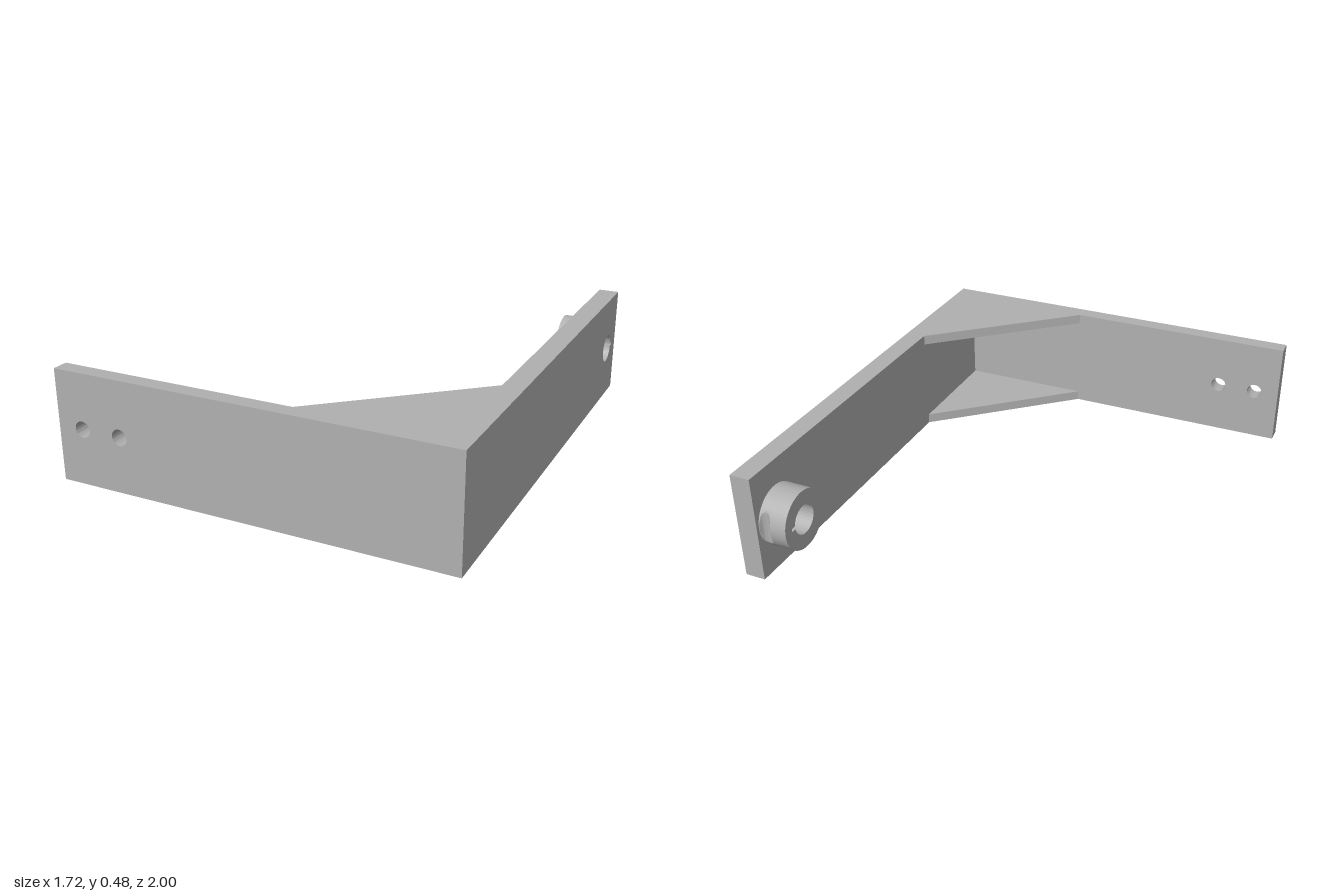
import * as THREE from 'three';
import { toCreasedNormals } from 'three/addons/utils/BufferGeometryUtils.js';

const HEIGHT = 0.48, MID = 0.24;
const LEFT = 0.86, INNER = 0.77, BACK = 0.93;
const BORE_U = 0.856; // bore position, measured towards the back

function rectangle(x0, x1, y0, y1) {
  return new THREE.Shape([[x0, y0], [x1, y0], [x1, y1], [x0, y1]].map(p => new THREE.Vector2(...p)));
}

function circle(x, y, r) {
  return new THREE.Path().absarc(x, y, r, 0, Math.PI * 2, true);
}

// round bore with a narrow keyway towards the back
function keyedBore() {
  const r = 0.064, half = 0.007, a = Math.asin(half / r);
  const path = new THREE.Path();
  path.absarc(BORE_U, MID, r, a, Math.PI * 2 - a, false);
  path.lineTo(0.943, MID - half);
  path.lineTo(0.943, MID + half);
  path.closePath();
  return path;
}

function extrude(shape, depth, curveSegments = 32, steps = 1) {
  return new THREE.ExtrudeGeometry(shape, { depth, steps, curveSegments, bevelEnabled: false });
}

export function createModel() {
  const group = new THREE.Group();
  const grey = new THREE.MeshStandardMaterial({ color: 0xb0b0b0 });
  grey.name = 'plain grey';

  const add = (name, geometry) => {
    const mesh = new THREE.Mesh(toCreasedNormals(geometry, 0.6), grey);
    mesh.name = name;
    group.add(mesh);
  };

  // front plate with two screw holes
  const front = rectangle(-LEFT, INNER, 0, HEIGHT);
  for (const x of [-0.745, -0.567]) front.holes.push(circle(x, MID, 0.035));
  add('frontPlate', extrude(front, 1 - BACK).translate(0, 0, BACK));

  // side plate: drawn with u = -z, then turned to face +x
  const side = rectangle(-1, 1, 0, HEIGHT);
  side.holes.push(keyedBore());
  add('sidePlate', extrude(side, LEFT - INNER).rotateY(Math.PI / 2).translate(INNER, 0, 0));

  // boss around the bore
  const ring = new THREE.Shape().absarc(BORE_U, MID, 0.13, 0, Math.PI * 2, false);
  ring.holes.push(keyedBore());
  const bossX = 0.645;
  const boss = extrude(ring, INNER - bossX, 64, 50).rotateY(Math.PI / 2).translate(bossX, 0, 0);

  // round groove cut vertically across the back of the boss
  const pos = boss.attributes.position, grooveX = 0.742, grooveR = 0.024;
  for (let i = 0; i < pos.count; i++) {
    const d = pos.getX(i) - grooveX;
    if (Math.abs(d) >= grooveR) continue;
    const limit = -BORE_U - 0.13 + Math.sqrt(grooveR ** 2 - d ** 2);
    pos.setZ(i, Math.max(pos.getZ(i), limit));
  }
  add('boss', boss);

  // triangular corner webs, flush with the top and bottom edges
  const web = new THREE.Shape([[0.17, -BACK], [INNER, -BACK], [INNER, -0.4]].map(p => new THREE.Vector2(...p)));
  const thickness = 0.045;
  for (const [name, y] of [['lowerWeb', 0], ['upperWeb', HEIGHT - thickness]]) {
    add(name, extrude(web, thickness).rotateX(-Math.PI / 2).translate(0, y, 0));
  }

  return group;
}
